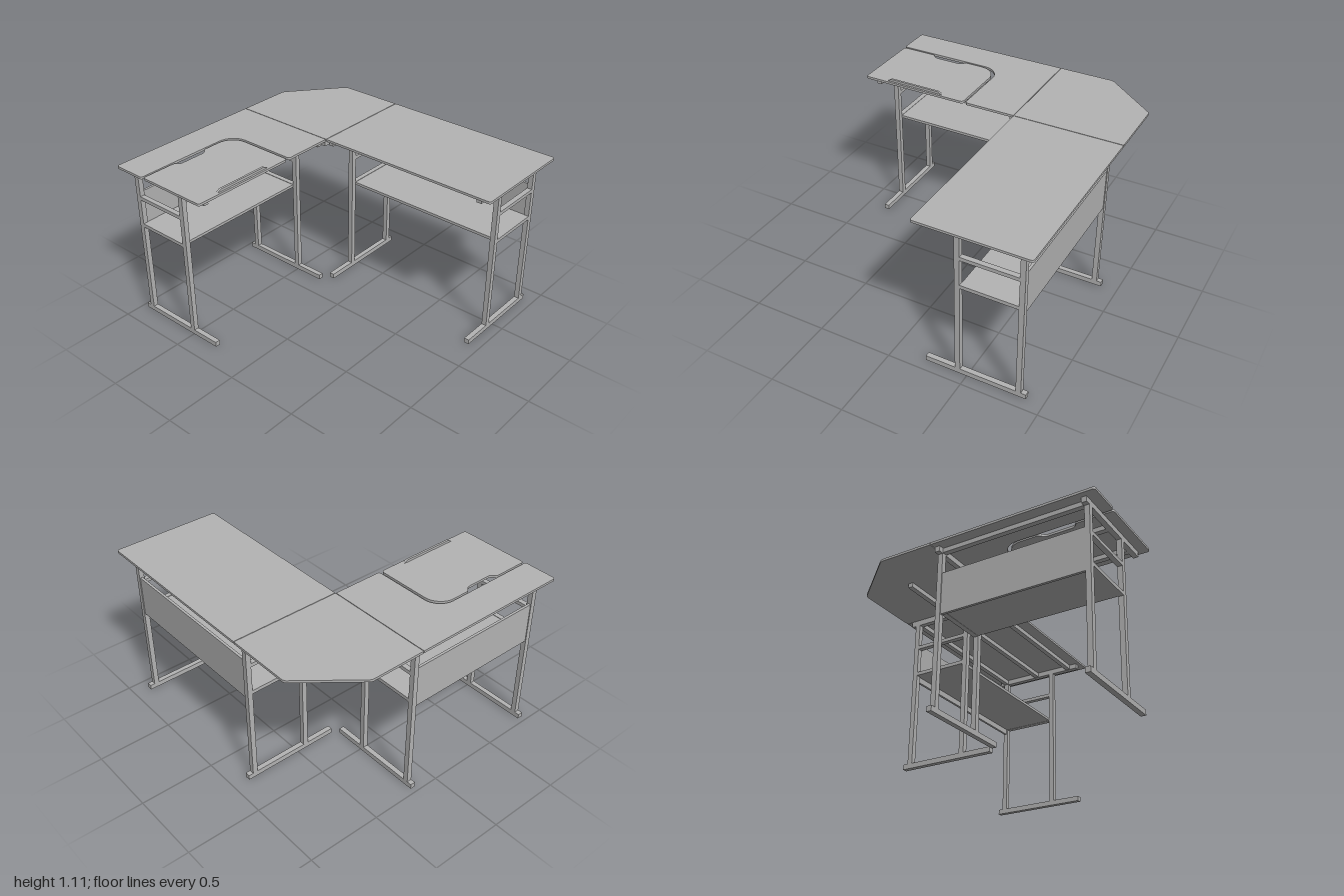
import * as THREE from 'three';

export function createModel() {
  const model = new THREE.Group();
  const grey = new THREE.MeshStandardMaterial({ name: 'grey', color: 0xb3b3b3 });

  // box given by its min and max corners
  const box = (parent, name, x0, x1, y0, y1, z0, z1) => {
    const mesh = new THREE.Mesh(new THREE.BoxGeometry(x1 - x0, y1 - y0, z1 - z0), grey);
    mesh.position.set((x0 + x1) / 2, (y0 + y1) / 2, (z0 + z1) / 2);
    mesh.name = name;
    parent.add(mesh);
  };

  // flat board from an outline of [x, z, corner radius] points
  const board = (name, points) => {
    const shape = new THREE.Shape();
    const n = points.length;
    points.forEach(([x, z, r = 0], i) => {
      const p = new THREE.Vector2(x, z);
      const toward = (q, d) => new THREE.Vector2(q[0], q[1]).sub(p).normalize().multiplyScalar(d).add(p);
      const prev = points[(i + n - 1) % n], next = points[(i + 1) % n];
      const a = toward(prev, r), b = toward(next, r);
      if (i === 0) shape.moveTo(a.x, a.y);
      else shape.lineTo(a.x, a.y);
      if (r) {
        const c1 = toward(prev, r * 0.45), c2 = toward(next, r * 0.45);
        shape.bezierCurveTo(c1.x, c1.y, c2.x, c2.y, b.x, b.y);
      }
    });
    shape.closePath();
    const geo = new THREE.ExtrudeGeometry(shape, { depth: 0.016, bevelEnabled: false, curveSegments: 8 });
    geo.rotateX(Math.PI / 2).translate(0, 1.098, 0);
    const mesh = new THREE.Mesh(geo, grey);
    mesh.name = name;
    model.add(mesh);
  };

  // table tops
  const r = 0.015;
  board('longTop', [[-0.258, -0.93], [1, -0.93, r], [1, -0.192, r], [-0.258, -0.192]]);
  board('cornerTop', [[-1, -0.57, r], [-0.705, -0.93, r], [-0.262, -0.93], [-0.262, -0.192], [-1, -0.192]]);
  board('sideTop', [[-1, -0.188], [-0.262, -0.188], [-0.262, 0.16, r], [-0.768, 0.16, 0.12],
    [-0.768, 0.925, r], [-1, 0.925, r]]);
  board('tiltingTop', [[-0.262, 0.178, 0.02], [-0.755, 0.178, 0.12], [-0.755, 0.425, 0.012],
    [-0.722, 0.448, 0.02], [-0.722, 0.652, 0.02], [-0.755, 0.675, 0.012],
    [-0.755, 0.92, r], [-0.262, 0.92, r]]);

  // pencil stop with sloped ends
  const stop = new THREE.Shape();
  [[-0.76, 1.098], [-0.34, 1.098], [-0.37, 1.114], [-0.73, 1.114]].forEach(([x, y], i) =>
    i ? stop.lineTo(x, y) : stop.moveTo(x, y));
  const stopMesh = new THREE.Mesh(
    new THREE.ExtrudeGeometry(stop, { depth: 0.015, bevelEnabled: false }), grey);
  stopMesh.rotation.y = Math.PI / 2;
  stopMesh.position.x = -0.291;
  stopMesh.name = 'pencilStop';
  model.add(stopMesh);

  // underframe running along x between two end frames, c is its centre in z
  const T = 0.034;
  const underframe = (name, xa, xb, c) => {
    const g = new THREE.Group();
    g.name = name;
    const front = c + 0.118, back = c - 0.285, h = T / 2;
    for (const x of [xa, xb]) {
      const bar = (part, y0, y1, z0, z1) => box(g, part, x - h, x + h, y0, y1, z0, z1);
      bar('foot', 0.002, 0.036, c - 0.335, c + 0.335);
      bar('topRail', 1.046, 1.082, c - 0.335, c + 0.335);
      for (const z of [front, back]) bar('post', 0.036, 1.046, z - h, z + h);
      for (const y of [0.663, 0.862]) bar('crossBar', y, y + 0.024, back + h, front - h);
    }
    // shelf, rear panel and beams between the ends
    box(g, 'shelf', xa + h, xb - h, 0.665, 0.684, back + 0.01, front - h);
    box(g, 'rearPanel', xa + h, xb - h, 0.63, 0.91, back - 0.012, back + 0.005);
    for (const z of [c + 0.265, c - 0.012, c - 0.285]) {
      box(g, 'beam', xa + h, xb - h, 1.05, 1.08, z - h, z + h);
    }
    model.add(g);
    return g;
  };
  underframe('longUnderframe', -0.241, 0.906, -0.555);
  underframe('sideUnderframe', -0.838, 0.163, -0.628).rotation.y = Math.PI / 2;

  // supports below the corner top
  box(model, 'cornerBeam', -0.7, -0.258, 1.05, 1.08, -0.584, -0.55);
  box(model, 'cornerBlock', -0.295, -0.265, 1.048, 1.082, -0.3, -0.186);
  box(model, 'cornerBlock', -0.38, -0.295, 1.048, 1.082, -0.216, -0.186);
  return model;
}
